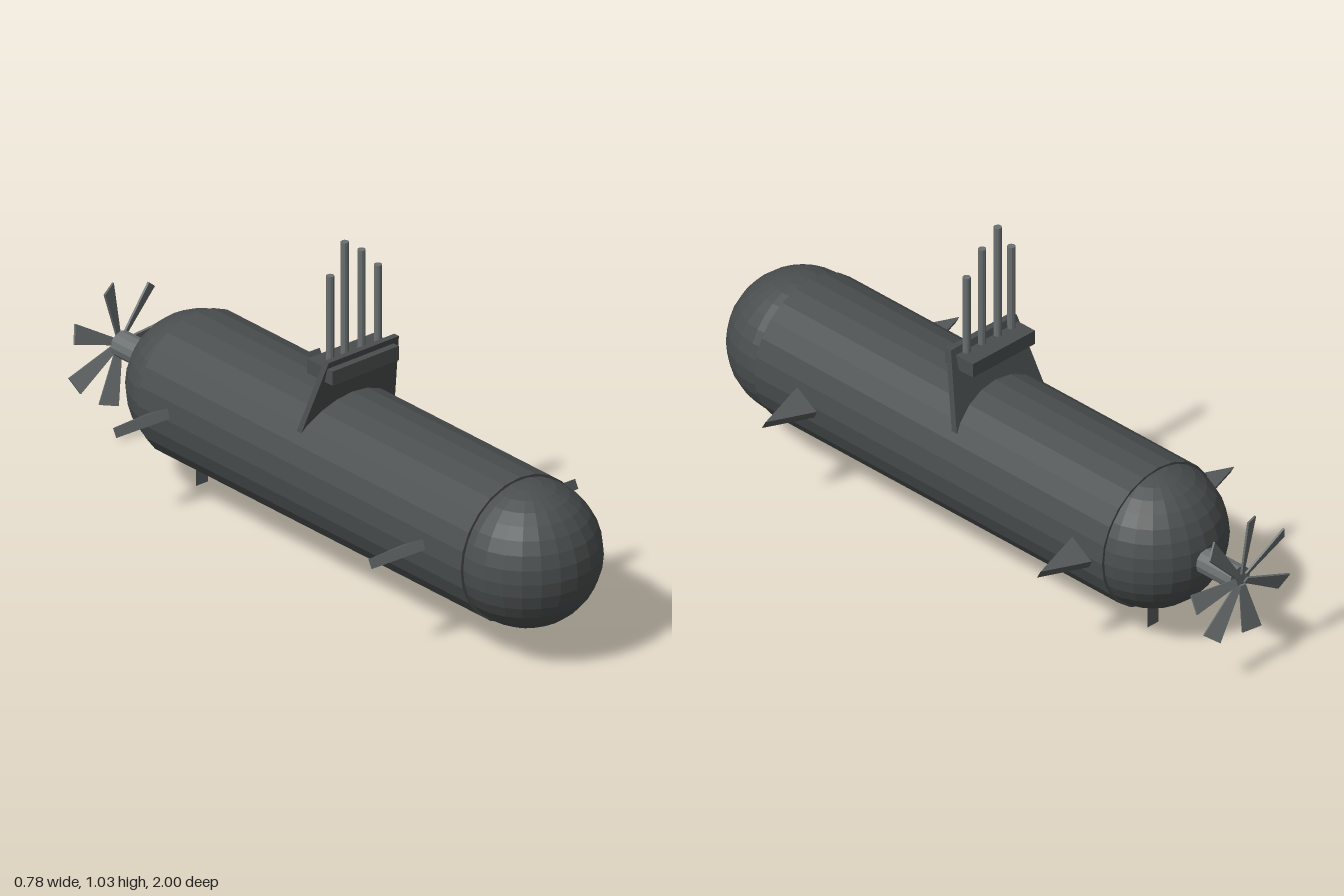
import * as THREE from 'three';

const mat = (name, color, extra = {}) => {
  const m = new THREE.MeshStandardMaterial({ color, flatShading: true, ...extra });
  m.name = name;
  return m;
};

export function createModel() {
  const model = new THREE.Group();
  const hullGrey = mat('hull grey', 0x4a4e4e);
  const finGrey = mat('fin grey', 0x575b5b, { side: THREE.DoubleSide });
  const metal = mat('light metal', 0x6a6f6f, { side: THREE.DoubleSide });
  const axisY = 0.315;

  const add = (name, geometry, material, x = 0, y = 0, z = 0, parent = model) => {
    const mesh = new THREE.Mesh(geometry, material);
    mesh.name = name;
    mesh.position.set(x, y, z);
    parent.add(mesh);
    return mesh;
  };
  // Flat outline given a thickness centred on its plane
  const plate = (points, depth) => {
    const shape = new THREE.Shape(points.map(([x, y]) => new THREE.Vector2(x, y)));
    return new THREE.ExtrudeGeometry(shape, { depth, bevelEnabled: false }).translate(0, 0, -depth / 2);
  };

  // Pressure hull with rounded ends
  add('hull', new THREE.CylinderGeometry(0.225, 0.225, 1.4, 24).rotateX(Math.PI / 2), hullGrey, 0, axisY, 0.05);
  add('bowDome', new THREE.SphereGeometry(0.219, 24, 16), hullGrey, 0, axisY, 0.78);
  add('sternDome', new THREE.SphereGeometry(0.219, 24, 16), hullGrey, 0, axisY, -0.63);

  // Leaning sail plate: a trapezoid sheared forward toward the top
  const sail = plate([[-0.175, 0.45], [0.18, 0.45], [0.14, 0.685], [-0.125, 0.685]], 0.02);
  const p = sail.attributes.position;
  for (let i = 0; i < p.count; i++) p.setZ(i, p.getZ(i) - 0.01 + (p.getY(i) - 0.45) * 0.27);
  sail.computeVertexNormals();
  add('sail', sail, hullGrey);
  add('sailPlatform', new THREE.BoxGeometry(0.25, 0.045, 0.11), hullGrey, 0, 0.642, 0.025);

  // Masts
  [[-0.09, 0.94], [-0.035, 1.03], [0.028, 0.985], [0.09, 0.917]].forEach(([x, top]) => {
    const h = top - 0.65;
    add('mast', new THREE.CylinderGeometry(0.012, 0.012, h, 10), metal, x, 0.65 + h / 2, 0.03);
  });

  // Diving planes: tilted triangular slabs, front edge raised
  for (const z of [0.547, -0.56]) {
    for (const side of [1, -1]) {
      const fin = plate([[0.2 * side, -0.053], [0.39 * side, 0], [0.2 * side, 0.053]], 0.03);
      add('divingPlane', fin.rotateX(-Math.PI / 2 - 0.5), finGrey, 0, axisY, z);
    }
  }

  // Thin rudder under the stern
  add('rudder', new THREE.PlaneGeometry(0.045, 0.25), finGrey, 0, 0.125, -0.63);

  // Propeller with seven flared, pitched blades
  add('propellerShaft', new THREE.CylinderGeometry(0.04, 0.04, 0.18, 12).rotateX(Math.PI / 2), metal, 0, axisY, -0.89);
  const propeller = new THREE.Group();
  propeller.name = 'propeller';
  propeller.position.set(0, axisY, -0.985);
  model.add(propeller);
  for (let i = 0; i < 7; i++) {
    const blade = plate([[0.02, -0.01], [0.19, -0.03], [0.19, 0.03], [0.02, 0.01]], 0.006);
    blade.rotateX(0.42).rotateZ((i / 7) * Math.PI * 2);
    add('propellerBlade', blade, metal, 0, 0, 0, propeller);
  }
  return model;
}
